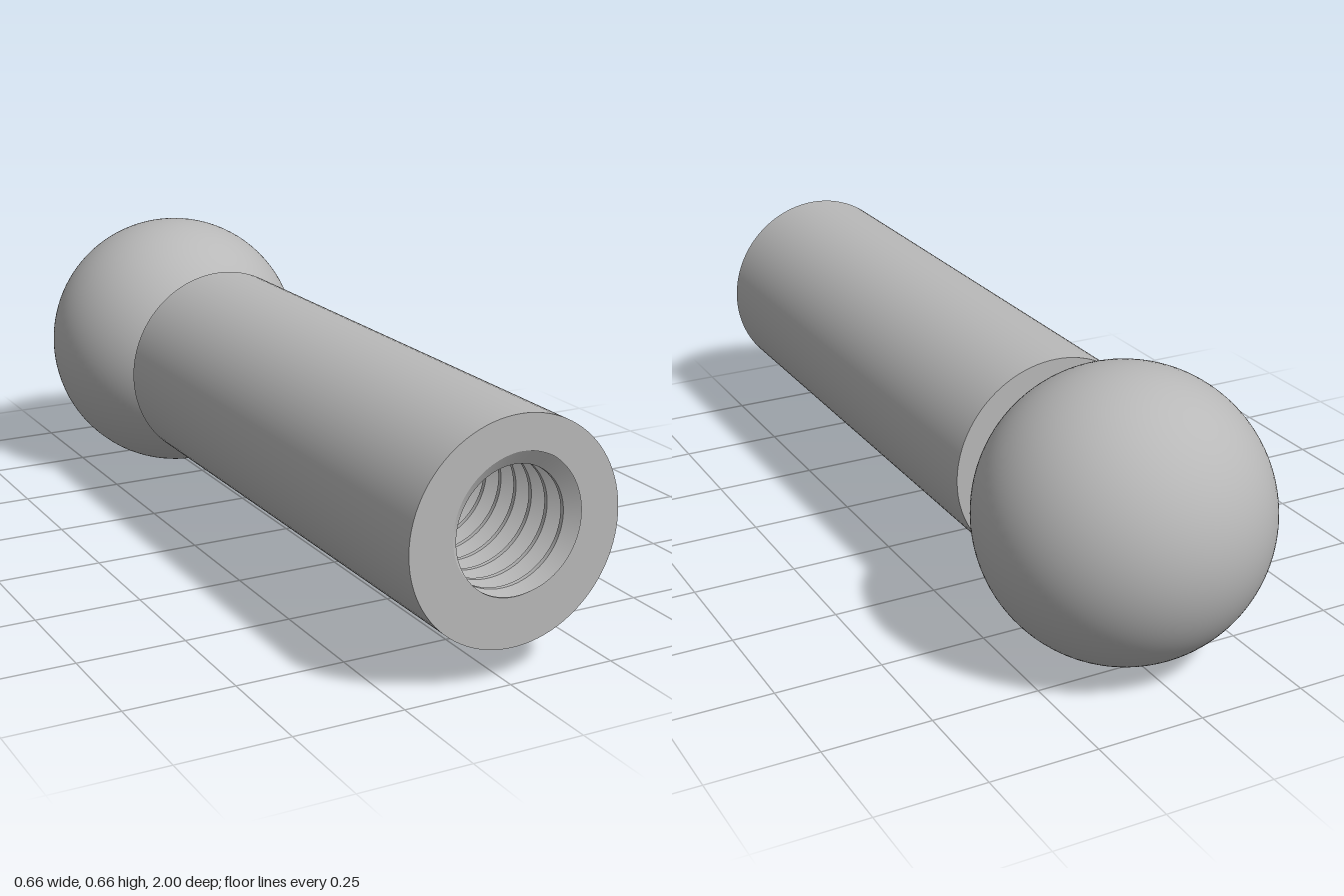
import * as THREE from 'three';

const AXIS_Y = 0.33, FRONT = 1, BACK = -0.37;      // shaft axis height and ends
const SHAFT_R = 0.248, BALL_R = 0.33, BALL_Z = -0.67;
const PITCH = 0.057, FLOOR = 0.1;                  // thread pitch and bore floor
const ROOT_R = 0.17, CREST_R = 0.137, PHASE = 75 / 360;
const SEG = 96;

// Bore radius at a given turn (angle / 2PI) and z
function boreRadius(turn, z) {
  const u = (z - FRONT) / PITCH - (turn - PHASE);
  const d = Math.abs(u - Math.round(u));           // 0 at the root, 0.5 at the crest
  const k = THREE.MathUtils.clamp((d - 0.04) / (0.41 - 0.04), 0, 1);
  return ROOT_R + (CREST_R - ROOT_R) * k;
}

// Ribbon between two edges; edge(turn, side) returns [radius, z]
function ribbon(start, end, edge) {
  const n = Math.round((end - start) * SEG), pos = [], idx = [];
  for (let i = 0; i <= n; i++) {
    const turn = start + i / SEG, a = turn * Math.PI * 2;
    for (const side of [0, 1]) {
      const [r, z] = edge(turn, side);
      pos.push(r * Math.cos(a), r * Math.sin(a), z);
    }
    if (i < n) {
      const k = i * 2;
      idx.push(k, k + 1, k + 2, k + 1, k + 3, k + 2);
    }
  }
  const geo = new THREE.BufferGeometry();
  geo.setAttribute('position', new THREE.Float32BufferAttribute(pos, 3));
  geo.setIndex(idx);
  geo.computeVertexNormals();
  return geo;
}

export function createModel() {
  const model = new THREE.Group();
  model.name = 'threadedBallStud';
  const steel = new THREE.MeshStandardMaterial({ color: 0xb8b8b8 });
  steel.name = 'steel grey';

  const add = (name, geo, z = 0) => {
    const mesh = new THREE.Mesh(geo, steel);
    mesh.name = name;
    mesh.position.set(0, AXIS_Y, z);
    model.add(mesh);
  };

  // Ball, open where it meets the shaft
  const neckAngle = Math.acos((BACK - BALL_Z) / BALL_R);
  add('ball', new THREE.SphereGeometry(BALL_R, SEG, 64, 0, Math.PI * 2, neckAngle, Math.PI - neckAngle)
    .rotateX(Math.PI / 2), BALL_Z);

  // Shaft wall and rear shoulder
  add('shaft', new THREE.CylinderGeometry(SHAFT_R, SHAFT_R, FRONT - BACK, SEG, 1, true)
    .rotateX(Math.PI / 2), (FRONT + BACK) / 2);
  add('rearShoulder', new THREE.RingGeometry(BALL_R * Math.sin(neckAngle), SHAFT_R, SEG)
    .rotateY(Math.PI), BACK);

  // Front face, its inner edge following the thread
  add('frontFace', ribbon(0, 1, (turn, side) => [side ? SHAFT_R : boreRadius(turn, FRONT), FRONT]));

  // Internal thread: one helical ribbon for each facet of the profile
  const turns = Math.ceil((FRONT - FLOOR) / PITCH) + 2;
  const facets = { threadRoot: [-0.04, 0.04], threadBackFlank: [0.04, 0.41],
    threadCrest: [0.41, 0.59], threadFrontFlank: [0.59, 0.96] };
  for (const [name, bounds] of Object.entries(facets)) {
    add(name, ribbon(-turns, 2, (turn, side) => {
      const z = THREE.MathUtils.clamp(FRONT + PITCH * (turn - PHASE + bounds[side]), FLOOR, FRONT);
      return [boreRadius(turn, z), z];
    }));
  }

  // Bore floor
  add('boreFloor', new THREE.CircleGeometry(ROOT_R, SEG), FLOOR);
  return model;
}
